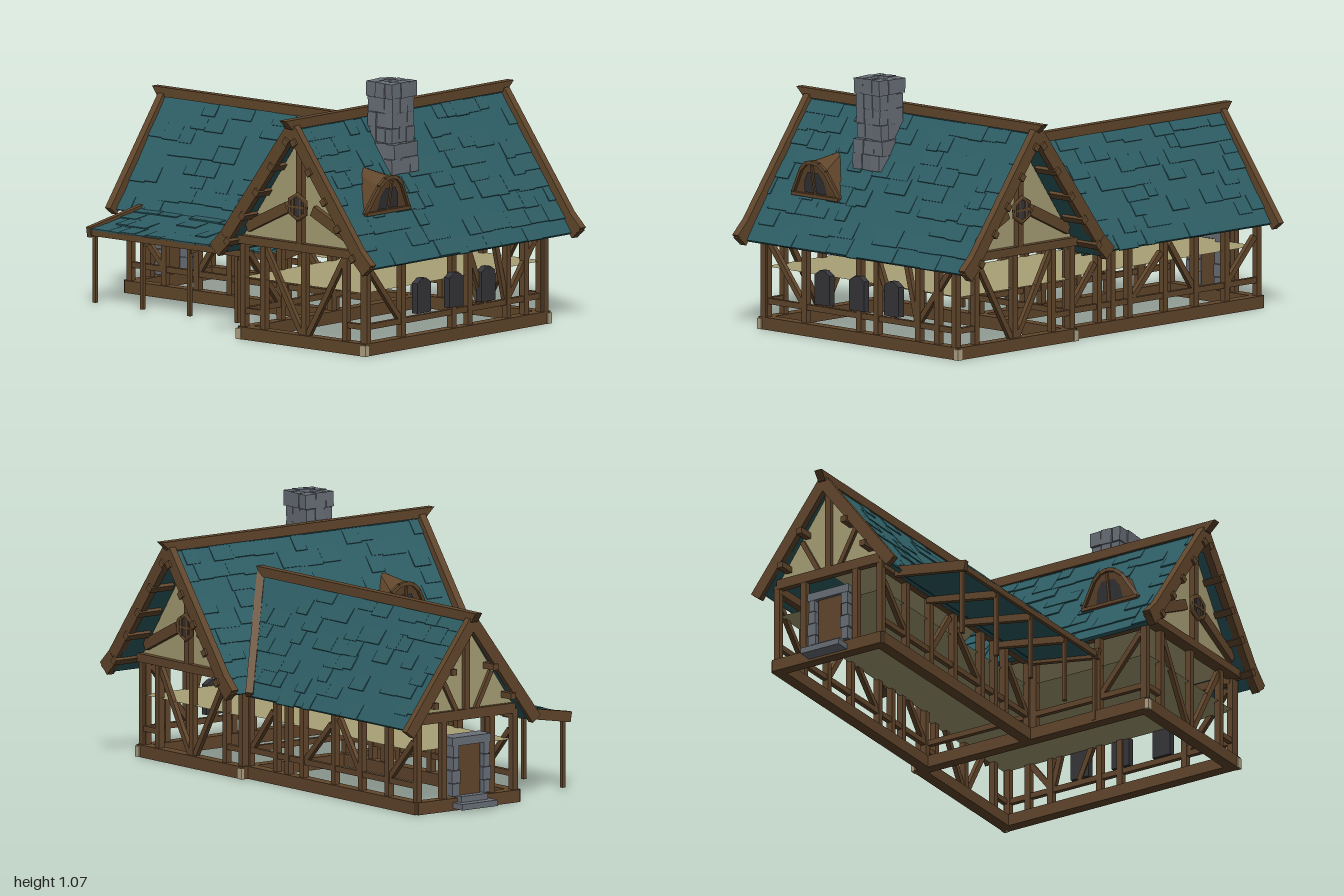
import * as THREE from 'three';
import { mergeGeometries } from 'three/addons/utils/BufferGeometryUtils.js';

const V = (x, y, z) => new THREE.Vector3(x, y, z);

export function createModel() {
  const model = new THREE.Group();
  model.name = 'timberHouse';
  const mat = (name, color) => {
    const m = new THREE.MeshStandardMaterial({ color, side: THREE.DoubleSide });
    m.name = name;
    return m;
  };
  const wood = mat('timber', 0x62472c), tile = mat('tealTile', 0x2d5d64);
  const plaster = mat('plaster', 0xa9a076), stone = mat('greyStone', 0x6a7078);
  const dark = mat('darkShutter', 0x36363a), pale = mat('endGrain', 0xb3a585);

  let seed = 7;
  const rnd = (a = 0, b = 1) => {
    seed = (seed * 16807) % 2147483647;
    return a + (b - a) * seed / 2147483647;
  };
  const add = (name, material, geos) => {
    const g = mergeGeometries(geos.map(q => (q.index ? q.toNonIndexed() : q)));
    const m = new THREE.Mesh(g, material);
    m.name = name;
    model.add(m);
  };
  const box = (x0, x1, y0, y1, z0, z1) => new THREE.BoxGeometry(x1 - x0, y1 - y0, z1 - z0)
    .translate((x0 + x1) / 2, (y0 + y1) / 2, (z0 + z1) / 2);
  // Box running from a to b; w is its horizontal width, h its other thickness
  const beam = (a, b, w = 0.03, h = w) => {
    const d = b.clone().sub(a), len = d.length();
    d.normalize();
    const x = (Math.abs(d.y) > 0.99 ? V(1, 0, 0) : V(0, 1, 0).cross(d)).normalize();
    const y = d.clone().cross(x);
    const mid = a.clone().add(b).multiplyScalar(0.5);
    return new THREE.BoxGeometry(w, h, len)
      .applyMatrix4(new THREE.Matrix4().makeBasis(x, y, d).setPosition(mid));
  };
  // Quad or triangle fan
  const face = pts => {
    const p = [];
    for (let i = 1; i < pts.length - 1; i++) for (const q of [pts[0], pts[i], pts[i + 1]]) p.push(q.x, q.y, q.z);
    const g = new THREE.BufferGeometry();
    g.setAttribute('position', new THREE.Float32BufferAttribute(p, 3));
    g.setAttribute('uv', new THREE.Float32BufferAttribute(new Array(p.length / 3 * 2).fill(0), 2));
    g.computeVertexNormals();
    return g;
  };

  // Roof slope: boarded courses with scattered raised tiles; range(y) gives the extent along the axis
  const slope = (name, top, down, axis, rows, range) => {
    const geos = [], len = down.length(), d = down.clone().normalize();
    const n = axis.clone().cross(d);
    if (n.y < 0) n.negate();
    const course = len / rows;
    const put = (s, v, w, h, t, lift, tilt) => {
      const dd = d.clone().addScaledVector(n, tilt).normalize();
      const x = axis.clone(), nn = dd.clone().cross(x);
      if (nn.y < 0) { nn.negate(); x.negate(); }
      const c = top.clone().addScaledVector(d, v).addScaledVector(n, lift).addScaledVector(axis, s);
      geos.push(new THREE.BoxGeometry(w, t, h).applyMatrix4(new THREE.Matrix4().makeBasis(x, nn, dd).setPosition(c)));
    };
    for (let r = 0; r < rows; r++) {
      const v = (r + 0.5) * course, [lo, hi] = range(top.y + d.y * v);
      put((lo + hi) / 2, v, hi - lo, course, 0.016, -0.006, 0);
      for (let s = lo; s < hi - 0.01;) {
        const w = Math.min(rnd(0.05, 0.12), hi - s);
        if (rnd() < 0.55) put(s + w / 2, v + rnd(-0.006, 0.008), w, course * 1.06, 0.007, rnd(0, 0.003), 0.05);
        s += w;
      }
    }
    add(name, tile, geos);
  };
  const mainX = y => 0.55 - (0.925 - y) / 1.4;
  for (const s of [-1, 1]) {
    slope('mainRoofSlope', V(0.55, 0.925, 0), V(s * 0.39, -0.555, 0), V(0, 0, 1), 9, () => [-0.655, 0.63]);
    slope('wingRoofSlope', V(0, 0.795, -0.25), V(0, -0.44, s * 0.303), V(1, 0, 0), 8, y => [-0.945, mainX(y)]);
  }
  slope('porchRoof', V(0, 0.37, 0.0), V(0, -0.055, 0.345), V(1, 0, 0), 4, () => [-0.82, 0.19]);

  // Plaster floor sheets, roof linings and gables
  add('upperFloor', plaster, [
    face([V(0.22, 0.26, 0.58), V(0.88, 0.26, 0.58), V(0.88, 0.26, -0.54), V(0.22, 0.26, -0.54)]),
    face([V(-0.9, 0.26, 0), V(0.22, 0.26, 0), V(0.22, 0.26, -0.5), V(-0.9, 0.26, -0.5)])]);
  const lining = [];
  for (const s of [-1, 1]) {
    const x = 0.55 + s * 0.33, z = -0.25 + s * 0.25;
    lining.push(face([V(0.55, 0.895, 0.58), V(0.55, 0.895, -0.54), V(x, 0.43, -0.54), V(x, 0.43, 0.58)]));
    lining.push(face([V(-0.9, 0.765, -0.25), V(0.42, 0.765, -0.25), V(0.2, 0.41, z), V(-0.9, 0.41, z)]));
  }
  add('roofLining', plaster, lining);
  add('gableWalls', plaster, [
    ...[0.585, -0.545].map(z => face([V(0.21, 0.41, z), V(0.89, 0.41, z), V(0.55, 0.895, z)])),
    face([V(-0.905, 0.39, -0.52), V(-0.905, 0.39, 0.02), V(-0.905, 0.77, -0.25)])]);

  // Timber wall frames: base, rail, plate, posts and braces along a line
  const wall = (name, a, b, posts, braces, top = 0.4, rail = true) => {
    const len = b.clone().sub(a).length();
    const at = (t, y) => a.clone().lerp(b, t / len).setY(y);
    const geos = [beam(at(-0.015, 0.026), at(len + 0.015, 0.026), 0.05, 0.052),
      beam(at(0, top), at(len, top), 0.03, 0.035)];
    if (rail) geos.push(beam(at(0, 0.118), at(len, 0.118), 0.02, 0.024));
    for (const t of posts) geos.push(beam(at(t, 0.04), at(t, top), 0.027));
    for (const [t0, y0, t1, y1] of braces) geos.push(beam(at(t0, y0), at(t1, y1), 0.02, 0.024));
    add(name, wood, geos);
  };
  for (const z of [0.572, -0.53]) {
    wall('gableEndFrame', V(0.22, 0, z), V(0.89, 0, z), [0, 0.11, 0.335, 0.56, 0.67],
      [[0.32, 0.05, 0.12, 0.39], [0.35, 0.05, 0.55, 0.39]], 0.42, false);
    add('shortRails', wood, [box(0.22, 0.34, 0.107, 0.13, z - 0.01, z + 0.01), box(0.77, 0.89, 0.107, 0.13, z - 0.01, z + 0.01)]);
  }
  const sideBraces = [[0.02, 0.36, 0.21, 0.13], [0.64, 0.36, 0.74, 0.13], [0.87, 0.13, 0.81, 0.36], [0.88, 0.13, 1.07, 0.38]];
  wall('rightSideFrame', V(0.88, 0, 0.57), V(0.88, 0, -0.53), [0, 0.225, 0.54, 0.64, 0.88, 0.99, 1.09], sideBraces);
  wall('leftSideFrame', V(0.22, 0, 0.57), V(0.22, 0, -0.53), [0, 0.225, 0.54, 1.09], [[0.02, 0.36, 0.21, 0.13]]);
  for (const z of [0, -0.5]) {
    wall('wingLongFrame', V(-0.91, 0, z), V(0.22, 0, z), [0, 0.19, 0.37, 0.55, 0.76, 0.86, 0.94, 1.12],
      [[0.02, 0.3, 0.18, 0.13], [0.38, 0.13, 0.52, 0.33], [0.57, 0.3, 0.74, 0.13], [0.96, 0.3, 1.1, 0.13]], 0.37);
  }
  wall('wingEndFrame', V(-0.91, 0, 0), V(-0.91, 0, -0.5), [0, 0.12, 0.37, 0.5], [], 0.39, false);
  add('cornerBlocks', pale, [[0.21, 0.589], [0.895, 0.589], [0.21, -0.547], [0.895, -0.547]]
    .map(([x, z]) => box(x - 0.014, x + 0.014, 0, 0.045, z - 0.012, z + 0.012)));

  // Ridge beams with slanted ends
  const ridge = (a, b) => {
    const g = beam(a, b, 0.035, 0.04), p = g.attributes.position, mid = a.clone().add(b).multiplyScalar(0.5);
    for (let i = 0; i < p.count; i++) if (p.getY(i) < mid.y) {
      p.setX(i, mid.x + (p.getX(i) - mid.x) * (Math.abs(b.x - a.x) > 0.1 ? 0.96 : 1));
      p.setZ(i, mid.z + (p.getZ(i) - mid.z) * (Math.abs(b.z - a.z) > 0.1 ? 0.94 : 1));
    }
    g.computeVertexNormals();
    return g;
  };
  add('ridgeBeams', wood, [ridge(V(0.55, 0.94, -0.71), V(0.55, 0.94, 0.71)), ridge(V(-1, 0.805, -0.25), V(0.47, 0.805, -0.25))]);

  // Barge boards, valley boards and purlin ends
  const trim = [], purlins = [];
  for (const s of [-1, 1]) {
    for (const z of [0.645, -0.66]) {
      const e = Math.sign(z);
      trim.push(beam(V(0.55, 0.92, z), V(0.55 + s * 0.415, 0.365, z), 0.032, 0.055));
      trim.push(beam(V(0.55 + s * 0.36, 0.43, z), V(0.55 + s * 0.42, 0.372, z), 0.034, 0.065));
      for (const y of [0.865, 0.75, 0.635, 0.53, 0.415]) {
        const x = 0.55 + s * (0.895 - y) / 1.4;
        purlins.push(new THREE.BoxGeometry(0.028, 0.028, 0.12).rotateZ(-s * 0.95).translate(x, y, z - e * 0.035));
      }
    }
    trim.push(beam(V(-0.95, 0.785, -0.25), V(-0.95, 0.345, -0.25 + s * 0.33), 0.03, 0.05));
    trim.push(beam(V(0.46, 0.8, -0.25), V(0.14, 0.362, -0.25 + s * 0.31), 0.032, 0.03));
    for (const t of [0.35, 0.65]) purlins.push(beam(V(-0.975, 0.74 - 0.44 * t, -0.25 + s * 0.31 * t), V(-0.88, 0.74 - 0.44 * t, -0.25 + s * 0.31 * t), 0.026));
  }
  add('bargeBoards', wood, trim);
  add('purlinEnds', wood, purlins);

  // Gable timbers and six-sided windows
  const gable = [], glass = [];
  for (const z of [0.595, -0.555]) {
    const zz = z + Math.sign(z) * 0.02;
    gable.push(beam(V(0.205, 0.42, z), V(0.895, 0.42, z), 0.035, 0.035));
    gable.push(beam(V(0.55, 0.42, z), V(0.55, 0.9, z), 0.03));
    for (const s of [-1, 1]) gable.push(beam(V(0.55 + s * 0.29, 0.475, z), V(0.55 + s * 0.07, 0.58, z), 0.025, 0.045));
    gable.push(new THREE.TorusGeometry(0.05, 0.012, 4, 6).rotateZ(Math.PI / 6).translate(0.55, 0.59, zz));
    gable.push(box(0.5, 0.6, 0.585, 0.595, zz - 0.008, zz + 0.008));
    for (const x of [0.53, 0.57]) gable.push(box(x - 0.005, x + 0.005, 0.55, 0.63, zz - 0.008, zz + 0.008));
    glass.push(new THREE.CylinderGeometry(0.05, 0.05, 0.009, 6).rotateX(Math.PI / 2).translate(0.55, 0.59, zz));
  }
  gable.push(beam(V(-0.91, 0.4, -0.5), V(-0.91, 0.4, 0), 0.03), beam(V(-0.91, 0.4, -0.25), V(-0.91, 0.76, -0.25), 0.027));
  for (const s of [-1, 1]) gable.push(beam(V(-0.91, 0.41, -0.25 + s * 0.05), V(-0.91, 0.56, -0.25 + s * 0.13), 0.02));
  add('gableTimbers', wood, gable);
  add('gableWindows', dark, glass);

  // Shutters along the right wall
  add('shutters', dark, [0.23, 0.03, -0.17].map(z => {
    const sh = new THREE.Shape([[-0.043, 0.14], [0.043, 0.14], [0.043, 0.265], [0.012, 0.285], [-0.012, 0.285], [-0.043, 0.265]]
      .map(([x, y]) => new THREE.Vector2(x, y)));
    return new THREE.ExtrudeGeometry(sh, { depth: 0.03, bevelEnabled: false }).rotateY(Math.PI / 2).translate(0.875, 0, z);
  }));

  // Flared dormers, one on each main slope, lofted back to a short ridge
  for (const s of [-1, 1]) {
    const X = x => 0.55 + s * x;
    const prof = [[-0.135, 0.57], [-0.068, 0.68], [-0.035, 0.707], [0, 0.715], [0.035, 0.707], [0.068, 0.68], [0.135, 0.57]]
      .map(([z, y]) => V(X(0.258 + (y - 0.57) * 0.17), y, 0.355 + z));
    const back = prof.map(p => V(X(0.135), 0.715 + (p.y - 0.57) * 0.15, 0.355 + (p.z - 0.355) * 0.25));
    const w = [face(prof)];
    for (let i = 0; i < 6; i++) {
      w.push(face([prof[i], prof[i + 1], back[i + 1], back[i]]));
      w.push(beam(prof[i], prof[i + 1], 0.016));
    }
    w.push(beam(prof[0], prof[6], 0.03, 0.014));
    w.push(beam(V(X(0.266), 0.575, 0.355), V(X(0.288), 0.7, 0.355), 0.01));
    add('dormer', wood, w);
    add('dormerWindow', dark, [face([[-0.065, 0.582], [-0.055, 0.635], [-0.03, 0.67], [0.03, 0.67], [0.055, 0.635], [0.065, 0.582]]
      .map(([z, y]) => V(X(0.263 + (y - 0.57) * 0.17), y, 0.355 + z)))]);
  }

  // Hollow stone chimney, each course a turned ring of blocks
  const blocks = [];
  for (let r = 0; r < 6; r++) {
    const size = r < 2 ? 0.156 : r === 5 ? 0.15 : 0.136, t = 0.042, y = 0.725 + r * 0.063;
    const turn = rnd(-0.06, 0.06), sx = rnd(-0.006, 0.006);
    for (let k = 0; k < 4; k++) for (const h of [0, 1]) {
      const half = (size - t) / 2;
      blocks.push(new THREE.BoxGeometry(half - 0.002, rnd(0.058, 0.066), t + rnd(-0.006, 0.008))
        .rotateZ(rnd(-0.06, 0.06)).translate(-size / 2 + half * (h + 0.5), 0, (size - t) / 2)
        .rotateY(k * Math.PI / 2 + turn).translate(0.65 + sx, y, 0.148));
    }
  }
  add('chimney', stone, blocks);

  // Porch posts, rafters and edge boards
  const porch = [-0.81, -0.55, -0.29, -0.03, 0.2].map(x => beam(V(x, 0.01, 0.335), V(x, 0.3, 0.335), 0.016));
  porch.push(beam(V(-0.83, 0.303, 0.346), V(0.2, 0.303, 0.346), 0.016, 0.026));
  for (const x of [-0.55, -0.29, -0.03]) porch.push(beam(V(x, 0.285, 0.34), V(x, 0.345, 0.0), 0.022, 0.03));
  for (const x of [-0.823, 0.195]) porch.push(beam(V(x, 0.305, 0.362), V(x, 0.362, 0.02), 0.022, 0.044));
  add('porchFrame', wood, porch);

  // End door with stone surround and steps
  add('door', wood, [box(-0.925, -0.9, 0.05, 0.28, -0.295, -0.185)]);
  const surround = [box(-0.94, -0.86, 0.27, 0.305, -0.34, -0.14), box(-0.96, -0.9, 0.03, 0.06, -0.31, -0.17), box(-1, -0.92, 0.01, 0.035, -0.335, -0.15)];
  for (const z of [-0.16, -0.32]) for (let i = 0; i < 4; i++) {
    const w = rnd(0.014, 0.022);
    surround.push(box(-0.938, -0.86, 0.06 + i * 0.054, 0.112 + i * 0.054, z - w, z + w));
  }
  add('doorSurround', stone, surround);
  return model;
}
